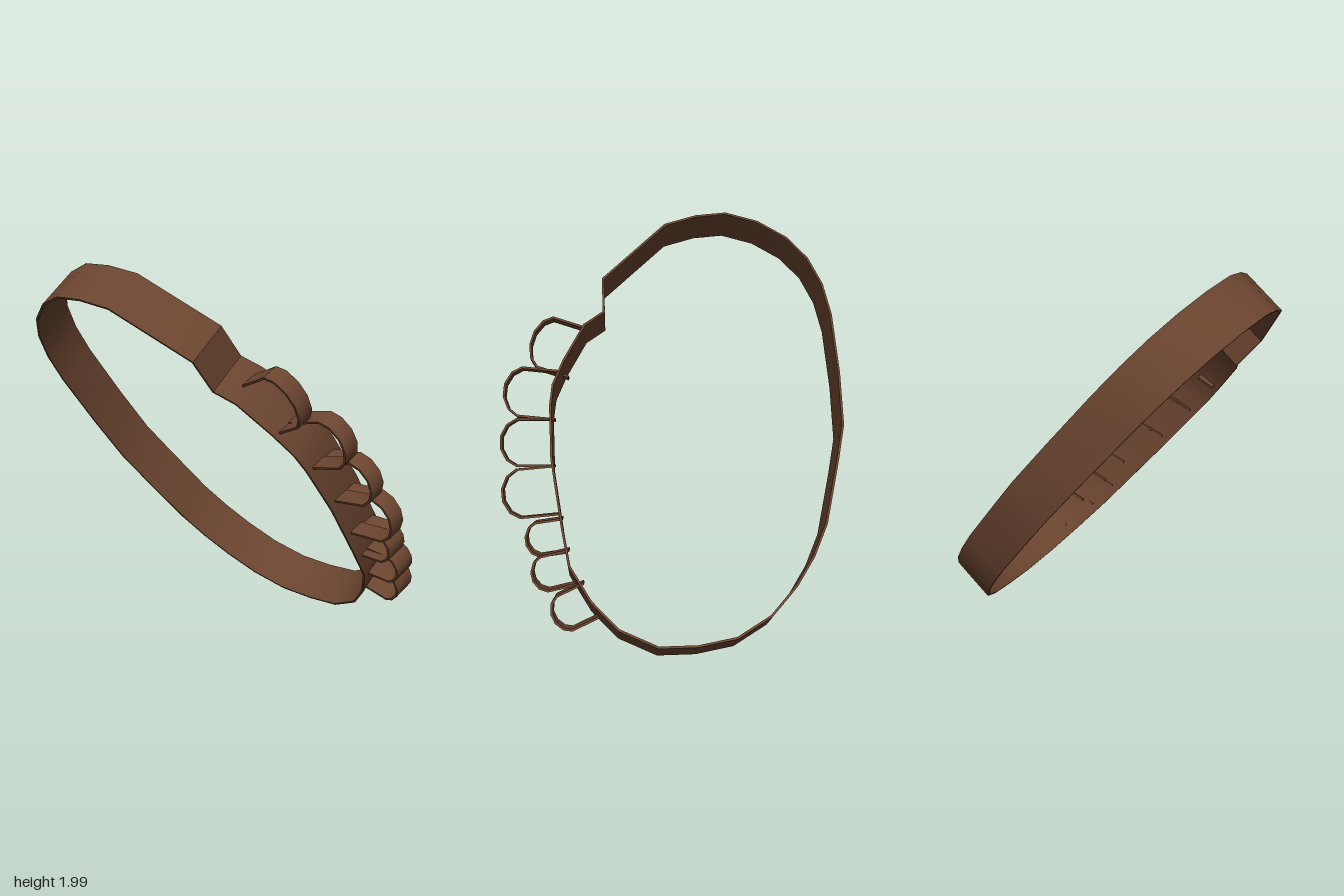
import * as THREE from 'three';
import { toCreasedNormals } from 'three/addons/utils/BufferGeometryUtils.js';

// Shift a polyline sideways (to its left) by t, mitring the corners
function offset(pts, t, closed) {
  const n = pts.length;
  return pts.map((p, i) => {
    const a = closed ? pts[(i + n - 1) % n] : pts[Math.max(i - 1, 0)];
    const b = closed ? pts[(i + 1) % n] : pts[Math.min(i + 1, n - 1)];
    const normal = (from, to) => new THREE.Vector2(from.y - to.y, to.x - from.x).normalize();
    const n1 = a === p ? normal(p, b) : normal(a, p);
    const n2 = b === p ? n1 : normal(p, b);
    const m = n1.clone().add(n2).normalize();
    return p.clone().addScaledVector(m, t / Math.max(m.dot(n1), 0.5));
  });
}

// Leather strip of a given width that follows a polyline
function strip(pts, thickness, width, closed) {
  const other = offset(pts, thickness, closed);
  let shape;
  if (closed) {
    shape = new THREE.Shape(pts);
    shape.holes.push(new THREE.Path(other));
  } else {
    shape = new THREE.Shape([...pts, ...other.reverse()]);
  }
  const geo = new THREE.ExtrudeGeometry(shape, { depth: width, bevelEnabled: false });
  geo.translate(0, 0, -width / 2);
  return toCreasedNormals(geo, 0.65);
}

// Orient so local x runs down the front at the given angle and local y points forward
function orient(obj, angle) {
  const c = Math.cos(angle), s = Math.sin(angle);
  obj.quaternion.setFromRotationMatrix(new THREE.Matrix4().makeBasis(
    new THREE.Vector3(c, s, 0), new THREE.Vector3(0, 0, 1), new THREE.Vector3(s, -c, 0)));
}

const toPoints = list => list.map(([x, y]) => new THREE.Vector2(x, y));

export function createModel() {
  const group = new THREE.Group();
  group.name = 'ammunitionBelt';
  const leather = new THREE.MeshStandardMaterial({ color: 0x6a442f });
  leather.name = 'brown leather';

  // Closed shoulder belt, as [distance down the slope, forward]
  const beltPath = toPoints([
    [-0.82, 0.36], [-1.154, 0], [-1.207, -0.18], [-1.222, -0.35], [-1.165, -0.53],
    [-1.06, -0.69], [-0.927, -0.80], [-0.766, -0.87], [-0.58, -0.905], [-0.235, -0.92],
    [0.07, -0.915], [0.265, -0.87], [0.61, -0.78], [0.78, -0.70], [0.93, -0.60],
    [1.08, -0.46], [1.185, -0.28], [1.22, -0.08], [1.22, 0.12], [1.125, 0.32],
    [0.98, 0.455], [0.79, 0.565], [0.58, 0.60], [0.22, 0.65], [-0.08, 0.655],
    [-0.2, 0.64], [-0.34, 0.58], [-0.547, 0.465], [-0.62, 0.36],
  ]);
  const belt = new THREE.Mesh(strip(beltPath, 0.012, 0.25, true), leather);
  belt.name = 'shoulderBelt';
  orient(belt, Math.atan2(-0.749, 0.663));
  belt.position.y = 1.003;
  group.add(belt);

  // Cartridge loops: x, y, z of the middle, length, height, width, slope angle, lean
  const loops = [
    [-0.32, 1.355, 0.64, 0.30, 0.24, 0.10, -61, 0.33],
    [-0.13, 1.15, 0.77, 0.275, 0.27, 0.10, -63, 0.12],
    [0.06, 0.94, 0.785, 0.26, 0.27, 0.10, -65, 0.02],
    [0.24, 0.73, 0.775, 0.265, 0.27, 0.10, -66, -0.07],
    [0.41, 0.55, 0.69, 0.185, 0.19, 0.14, -67, -0.12],
    [0.525, 0.415, 0.655, 0.19, 0.20, 0.14, -66, -0.2],
    [0.66, 0.27, 0.555, 0.20, 0.20, 0.14, -65, -0.42],
  ];
  loops.forEach(([x, y, z, len, high, wide, deg, lean], i) => {
    const half = [[0.5, -0.58], [0.5, 0.18], [0.37, 0.38], [0.13, 0.5]];
    const path = toPoints([
      ...half.map(([u, v]) => [-u * len, v * high]),
      ...half.slice().reverse().map(([u, v]) => [u * len, v * high]),
    ]);
    const loop = new THREE.Mesh(strip(path, -0.012, wide, false), leather);
    loop.name = 'cartridgeLoop' + (i + 1);
    orient(loop, THREE.MathUtils.degToRad(deg));
    loop.rotateZ(lean);
    loop.position.set(x, y, z);
    group.add(loop);
  });

  return group;
}
